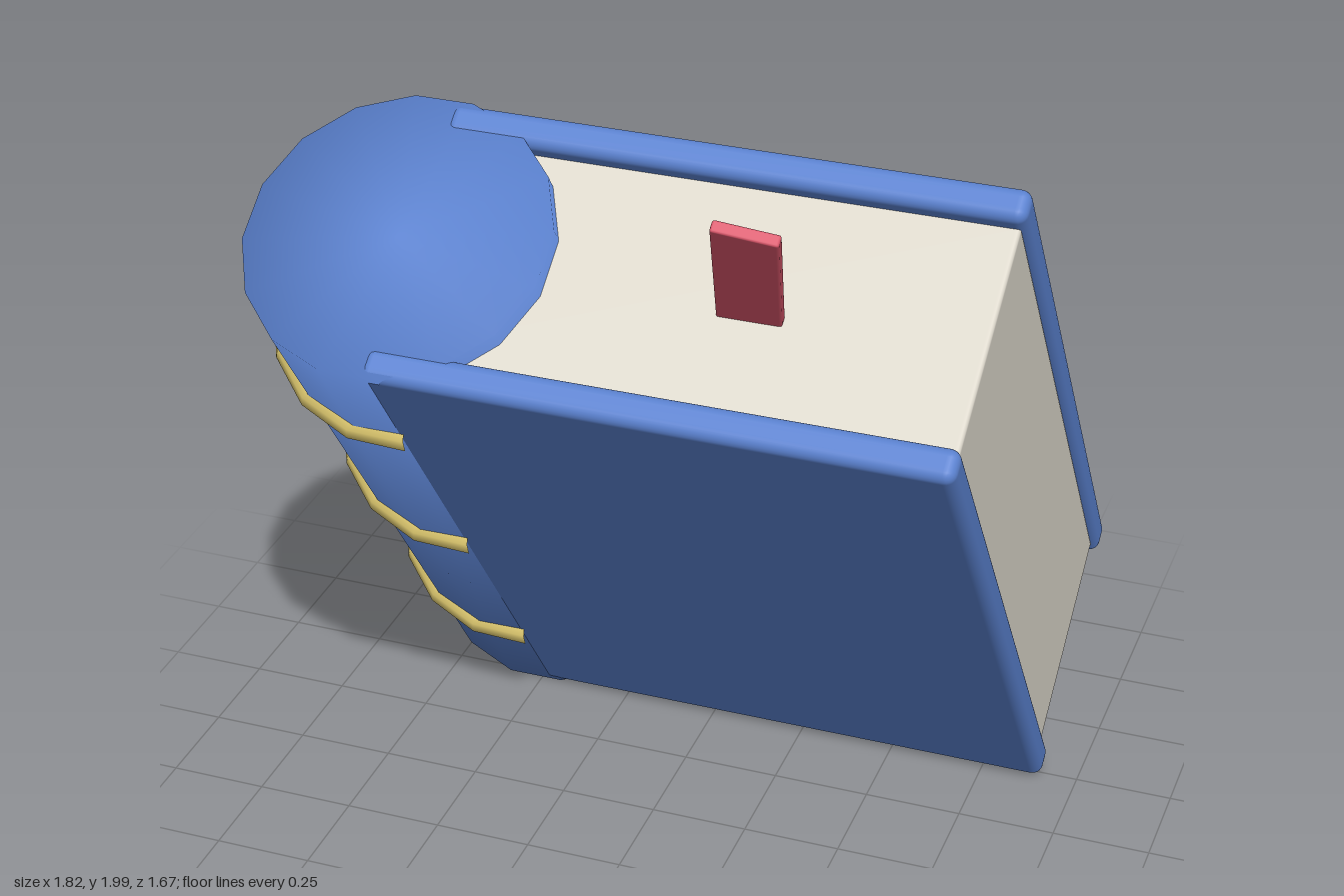
import * as THREE from 'three';
import { RoundedBoxGeometry } from 'three/addons/geometries/RoundedBoxGeometry.js';

function material(name, color) {
  const m = new THREE.MeshStandardMaterial({ color });
  m.name = name;
  return m;
}

export function createModel() {
  const blue = material('coverBlue', 0x5b82d0);
  const gold = material('trimGold', 0xd9c46c);
  const cream = material('pageCream', 0xddd8cc);
  const red = material('ribbonRed', 0xd9566a);

  const model = new THREE.Group();
  model.name = 'book';
  // The whole book leans forward
  const book = new THREE.Group();
  book.name = 'leaningBook';
  book.position.set(0, 0.977, 0.004);
  book.rotation.x = 0.621;
  model.add(book);

  const add = (name, geometry, mat, x, y, z, parent = book) => {
    const mesh = new THREE.Mesh(geometry, mat);
    mesh.name = name;
    mesh.position.set(x, y, z);
    parent.add(mesh);
    return mesh;
  };

  // Page block
  add('pages', new RoundedBoxGeometry(1.39, 1.74, 0.59, 2, 0.012), cream, 0.2, 0, 0);

  // Two matching covers
  for (const [name, s] of [['frontCover', 1], ['backCover', -1]]) {
    add(name, new RoundedBoxGeometry(1.41, 1.838, 0.086, 3, 0.028), blue, 0.205, 0, s * 0.327);
  }

  // Round spine, shaded softly across the rims
  const spineX = -0.52, spineR = 0.377, spineHalf = 0.916;
  const spine = new THREE.CylinderGeometry(spineR, spineR, spineHalf * 2, 16, 1, false, Math.PI / 16);
  const p = spine.attributes.position;
  const n = new THREE.Vector3();
  for (let i = 0; i < p.count; i++) {
    n.set(p.getX(i) / spineR, Math.sign(p.getY(i)), p.getZ(i) / spineR).normalize();
    spine.attributes.normal.setXYZ(i, n.x, n.y, n.z);
  }
  add('spine', spine, blue, spineX, 0, 0);

  // Raised bands wrapped around the spine, with closed ends
  const arc = Math.PI + 0.3, bandR = 0.366, tube = 0.036;
  for (const y of [-0.594, 0, 0.594]) {
    const band = new THREE.Group();
    band.name = 'spineBand';
    band.position.set(spineX, y, 0);
    book.add(band);
    const ring = new THREE.TorusGeometry(bandR, tube, 8, 9, arc);
    ring.rotateZ(Math.PI - arc / 2);
    ring.rotateX(Math.PI / 2);
    add('bandRing', ring, gold, 0, 0, 0, band);
    for (const s of [1, -1]) {
      const a = Math.PI - arc / 2;
      const end = add('bandEnd', new THREE.CircleGeometry(tube, 8), gold,
        Math.cos(a) * bandR, 0, s * Math.sin(a) * bandR, band);
      end.rotation.y = s > 0 ? Math.PI / 2 - a : Math.PI / 2 + a;
    }
  }

  // Plate on the back cover
  add('backPlate', new RoundedBoxGeometry(0.62, 0.76, 0.04, 2, 0.012), gold, 0.265, -0.214, -0.375);

  // Ribbon bookmark standing out of the pages
  const ribbon = add('bookmark', new RoundedBoxGeometry(0.155, 0.5, 0.03, 2, 0.006), red, 0.371, 1.025, 0.035);
  ribbon.rotation.z = -0.16;

  return model;
}
